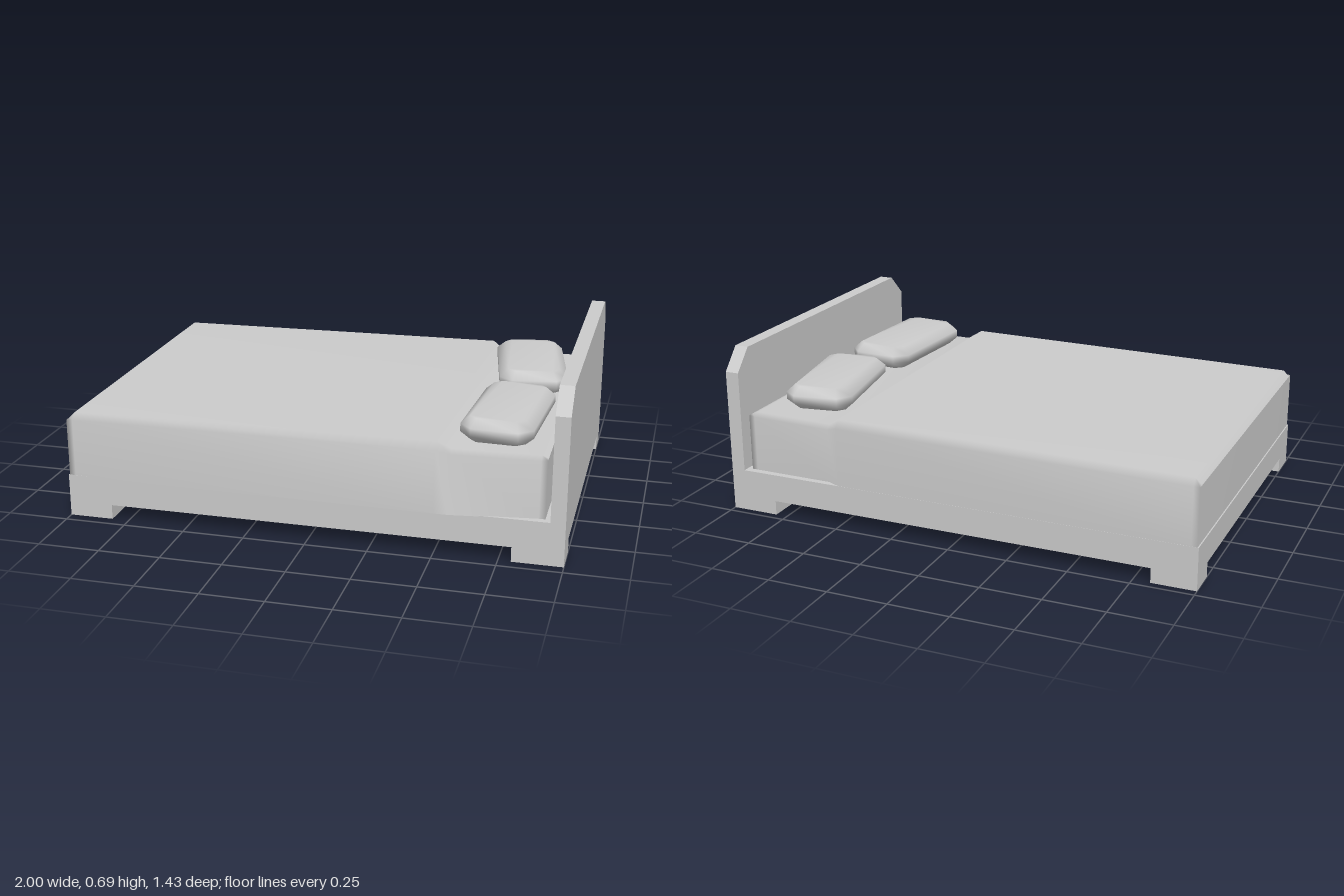
import * as THREE from 'three';
import { mergeVertices } from 'three/addons/utils/BufferGeometryUtils.js';

const MID_Z = -0.007; // centre line of the bed frame
const grey = () => new THREE.MeshStandardMaterial({ color: 0xcccccc });

function add(parent, name, geometry, material = grey()) {
  const mesh = new THREE.Mesh(geometry, material);
  mesh.name = name;
  parent.add(mesh);
  return mesh;
}

function box(parent, name, x0, x1, y0, y1, z0, z1) {
  const mesh = add(parent, name, new THREE.BoxGeometry(x1 - x0, y1 - y0, z1 - z0));
  mesh.position.set((x0 + x1) / 2, (y0 + y1) / 2, (z0 + z1) / 2);
}

// Smooth skin lofted from foot to head over covered and bare mattress sections
function beddingGeometry() {
  const inset = 0.025;
  // x, shoulder height, top height, half width, extra flare of the front hem
  const stations = [
    [-0.995, 0.41, 0.41, 0.709, 0],
    [-0.97, 0.41, 0.435, 0.709, 0],
    [0.5, 0.42, 0.45, 0.709, 0.016],
    [0.555, 0.4, 0.416, 0.685, 0.04],
    [0.895, 0.405, 0.42, 0.682, 0],
    [0.92, 0.41, 0.41, 0.682, 0],
  ];
  const points = [], index = [];
  stations.forEach(([x, shoulder, top, w, flare], i) => {
    const section = [
      [0.172, -w], [shoulder, -w], [top, -w + inset],
      [top, w - inset], [shoulder, w], [0.172, w + flare],
    ];
    section.forEach(([y, z]) => points.push(x, y, z + MID_Z));
    if (i === stations.length - 1) return;
    for (let j = 0; j < 5; j++) {
      const a = i * 6 + j, b = a + 1, c = b + 6, d = a + 6;
      index.push(a, b, c, a, c, d);
    }
  });
  const h = (stations.length - 1) * 6;
  index.push(0, 4, 1, 0, 5, 4); // foot end
  index.push(h, h + 1, h + 4, h, h + 4, h + 5); // head end
  const geometry = new THREE.BufferGeometry();
  geometry.setAttribute('position', new THREE.Float32BufferAttribute(points, 3));
  geometry.setIndex(index);
  geometry.computeVertexNormals();
  return geometry;
}

// Chamfered cushion with softened, bevelled edges
function pillowGeometry(width, length) {
  const bevel = 0.035, cut = 0.03;
  const w = width / 2 - bevel, l = length / 2 - bevel;
  const outline = [
    [w - cut, -l], [w, -l + cut], [w, l - cut], [w - cut, l],
    [-w + cut, l], [-w, l - cut], [-w, -l + cut], [-w + cut, -l],
  ].map(([x, y]) => new THREE.Vector2(x, y));
  let geometry = new THREE.ExtrudeGeometry(new THREE.Shape(outline), {
    depth: 0.032, bevelEnabled: true, bevelThickness: 0.032, bevelSize: bevel, bevelSegments: 1,
  });
  geometry.translate(0, 0, -0.016);
  geometry.rotateX(-Math.PI / 2);
  geometry.deleteAttribute('normal');
  geometry.deleteAttribute('uv');
  geometry = mergeVertices(geometry, 1e-4);
  geometry.computeVertexNormals();
  return geometry;
}

export function createModel() {
  const bed = new THREE.Group();
  bed.name = 'bed';
  const z0 = MID_Z - 0.71, z1 = MID_Z + 0.71;

  // Base and four block legs
  box(bed, 'base', -1, 0.942, 0.06, 0.175, z0, z1);
  for (const [xa, xb] of [[-1, -0.82], [0.8, 1]]) {
    box(bed, 'leg', xa, xb, 0, 0.06, z0, z0 + 0.13);
    box(bed, 'leg', xa, xb, 0, 0.06, z1 - 0.14, z1);
  }

  // Headboard with clipped upper corners, drawn in (-z, y) and turned to face along x
  const shape = new THREE.Shape([
    [-z1, 0.06], [-z0, 0.06], [-z0, 0.595], [-z0 - 0.08, 0.685], [-z1 + 0.095, 0.685], [-z1, 0.595],
  ].map(([x, y]) => new THREE.Vector2(x, y)));
  const board = add(bed, 'headboard', new THREE.ExtrudeGeometry(shape, { depth: 0.058, bevelEnabled: false }));
  board.rotation.y = Math.PI / 2;
  board.position.x = 0.942;

  // Mattress and blanket
  const cloth = grey();
  cloth.side = THREE.DoubleSide;
  add(bed, 'mattressAndBlanket', beddingGeometry(), cloth);

  // Two loosely placed pillows
  for (const [x, z, turn, width, length] of [
    [0.725, -0.305, 0.175, 0.285, 0.54],
    [0.722, 0.33, -0.06, 0.285, 0.55],
  ]) {
    const pillow = add(bed, 'pillow', pillowGeometry(width, length));
    pillow.position.set(x, 0.465, z);
    pillow.rotation.y = turn;
  }
  return bed;
}
